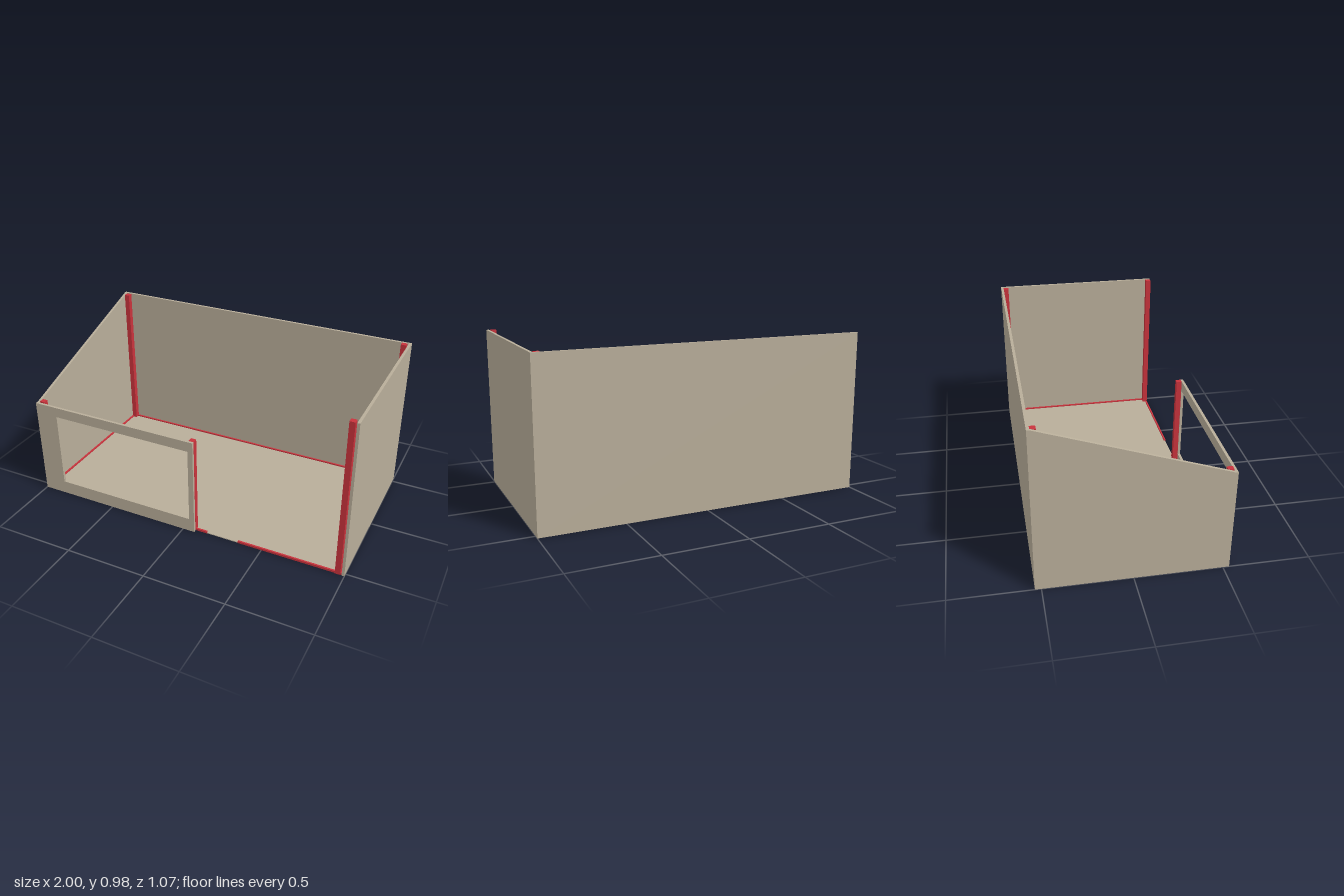
import * as THREE from 'three';

export function createModel() {
  const model = new THREE.Group();
  model.name = 'openBooth';
  const panel = new THREE.MeshStandardMaterial({ color: 0xb8ad99 });
  panel.name = 'warm grey panel';
  const red = new THREE.MeshStandardMaterial({ color: 0xc8323c });
  red.name = 'red framing';

  const T = 0.016;                 // panel thickness
  const H = 0.975, LOW = 0.62;     // tall and low wall heights
  const BACK = -0.535, FRONT = 0.52;

  function add(name, geometry, material) {
    const mesh = new THREE.Mesh(geometry, material);
    mesh.name = name;
    model.add(mesh);
    return mesh;
  }
  // Box given by its two opposite corners
  function box(name, material, x0, x1, y0, y1, z0, z1) {
    const g = new THREE.BoxGeometry(x1 - x0, y1 - y0, z1 - z0);
    g.translate((x0 + x1) / 2, (y0 + y1) / 2, (z0 + z1) / 2);
    return add(name, g, material);
  }
  const outline = (pts) => pts.map(([x, y]) => new THREE.Vector2(x, y));
  const plate = (shape) => new THREE.ExtrudeGeometry(shape, { depth: T, bevelEnabled: false });

  // Floor and the two full-height walls
  box('floor', panel, -1 + T, 1 - T, 0.001, 0.006, BACK + T, 0.515);
  box('backWall', panel, -1, 1, 0, H, BACK, BACK + T);
  box('sideWall', panel, 1 - T, 1, 0, H, BACK + T, FRONT);

  // Side wall whose top slopes down to the front; shape drawn in (-z, y)
  const slope = new THREE.Shape(outline([
    [-FRONT, 0], [-BACK - T, 0], [-BACK - T, H], [-FRONT, LOW],
  ]));
  const slopedGeometry = plate(slope);
  slopedGeometry.rotateY(Math.PI / 2);
  slopedGeometry.translate(-1, 0, 0);
  add('slopedSideWall', slopedGeometry, panel);

  // Low front wall with a window opening
  const front = new THREE.Shape(outline([[-1, 0], [0.075, 0], [0.075, LOW], [-1, LOW]]));
  front.holes.push(new THREE.Path(outline([
    [-0.855, 0.085], [-0.855, 0.557], [0.043, 0.557], [0.043, 0.085],
  ])));
  const frontGeometry = plate(front);
  frontGeometry.translate(0, 0, FRONT);
  add('frontWindowWall', frontGeometry, panel);

  // Corner posts: [name, x, z, height]
  const P = 0.032;
  for (const [name, x, z, h] of [
    ['backRightPost', -0.965, -0.503, 0.97],
    ['backLeftPost', 0.96, -0.503, H],
    ['frontRightPost', -0.965, 0.503, 0.628],
    ['frontLeftPost', 0.96, 0.503, H],
    ['doorwayPost', 0.059, 0.503, LOW],
  ]) box(name, red, x - P / 2, x + P / 2, 0, h, z - P / 2, z + P / 2);

  // Skirting strips round the floor, with a gap in the doorway
  const y0 = 0.001, y1 = 0.014, S = 0.011;
  box('backStrip', red, -0.984, 0.984, y0, y1, BACK + T, BACK + T + S);
  for (const s of [-1, 1]) {
    const x = s * (1 - T - S / 2);
    box('sideStrip', red, x - S / 2, x + S / 2, y0, y1, BACK + T, 0.515);
  }
  box('windowWallStrip', red, -0.984, 0.15, y0, y1, 0.517 - S, 0.517);
  box('doorwayStrip', red, 0.35, 0.984, y0, y1, 0.517 - S, 0.517);

  return model;
}
